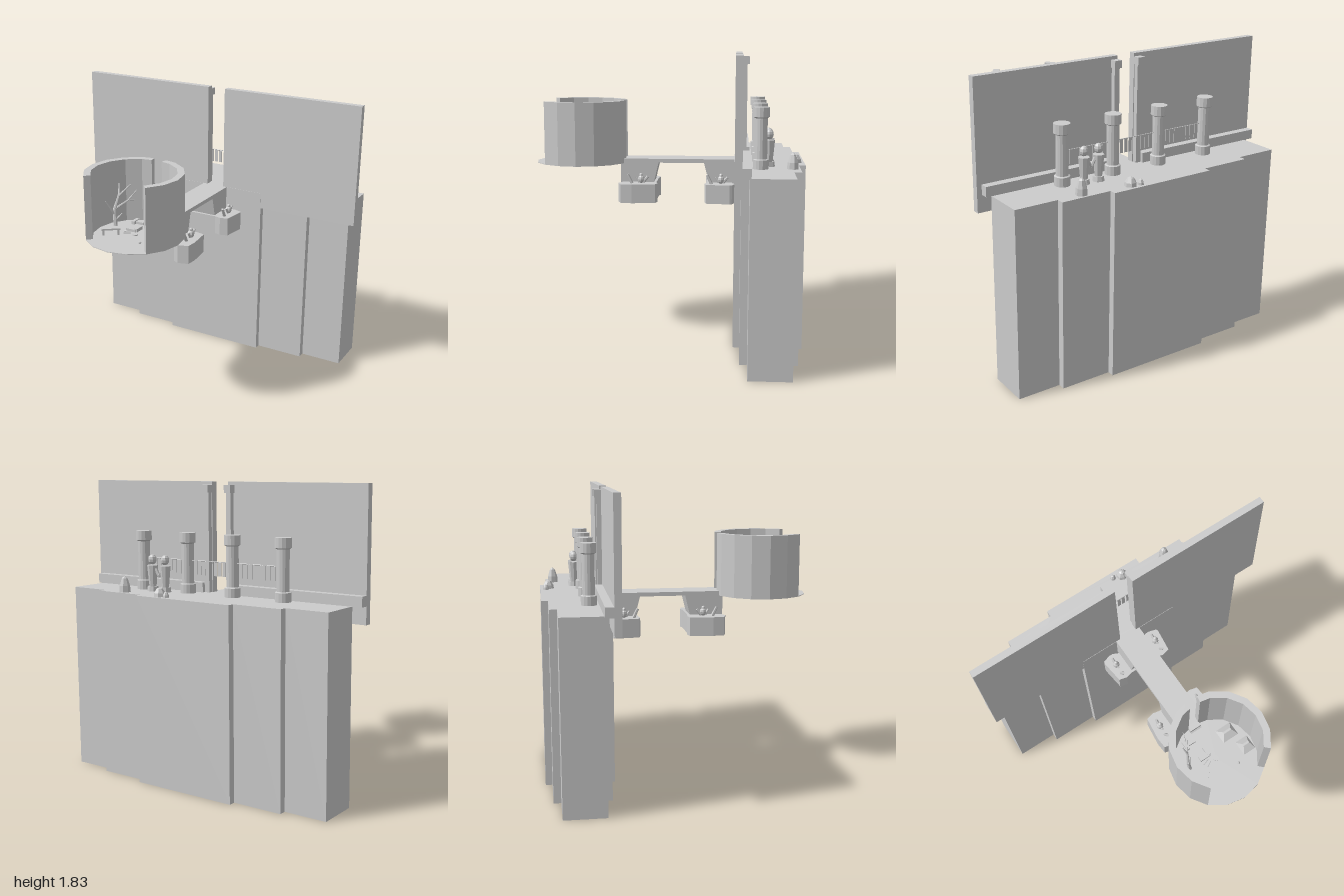
import * as THREE from 'three';

const mat = new THREE.MeshStandardMaterial({ color: 0xcccccc, flatShading: true, side: THREE.DoubleSide });

export function createModel() {
  const root = new THREE.Group();

  const add = (name, geo, x = 0, y = 0, z = 0, parent = root) => {
    const m = new THREE.Mesh(geo, mat);
    m.name = name;
    m.position.set(x, y, z);
    parent.add(m);
    return m;
  };
  // Box given by its limits
  const block = (name, x0, x1, y0, y1, z0, z1, parent = root) =>
    add(name, new THREE.BoxGeometry(x1 - x0, y1 - y0, z1 - z0), (x0 + x1) / 2, (y0 + y1) / 2, (z0 + z1) / 2, parent);
  // Ground outline of [x, z] points raised from y0 to y1
  const plan = (name, pts, y0, y1) => {
    const s = new THREE.Shape(pts.map(([x, z]) => new THREE.Vector2(x, -z)));
    const g = new THREE.ExtrudeGeometry(s, { depth: y1 - y0, bevelEnabled: false });
    return add(name, g.rotateX(-Math.PI / 2), 0, y0, 0);
  };
  // Straight rod between two points
  const rod = (name, a, b, r0, r1 = r0, parent = root, sides = 6) => {
    const p = new THREE.Vector3(...a), q = new THREE.Vector3(...b), d = q.clone().sub(p);
    const m = add(name, new THREE.CylinderGeometry(r1, r0, d.length(), sides), 0, 0, 0, parent);
    m.position.copy(p).add(q).multiplyScalar(0.5);
    m.quaternion.setFromUnitVectors(new THREE.Vector3(0, 1, 0), d.normalize());
    return m;
  };

  // Cliff: stepped slab
  const half = [[0.935, -0.517, -0.775], [0.665, -0.47, -0.82], [0.345, -0.43, -0.862]];
  const left = half.flatMap(([x, f], i) => i < 2 ? [[x, f], [half[i + 1][0], f]] : [[x, f]]);
  const back = half.flatMap(([x, , b], i) => i < 2 ? [[x, b], [half[i + 1][0], b]] : [[x, b]]);
  const mirror = (pts) => pts.map(([x, z]) => [-x, z]);
  plan('cliff', [...left, ...mirror(left).reverse(), ...mirror(back), ...back.slice().reverse()], 0, 1.16);

  // Tall gate panels with base rail and inner post
  for (const s of [-1, 1]) {
    const span = (name, a, b, ...rest) => block(name, Math.min(s * a, s * b), Math.max(s * a, s * b), ...rest);
    span('gatePanel', 0.06, 1.0, 1.055, 1.83, -0.475, -0.432);
    span('gateRail', 0.1, s < 0 ? 1.0 : 0.97, 1.16, 1.22, -0.525, -0.475);
    span('gatePost', 0.065, 0.1, 1.16, 1.8, -0.505, -0.475);
    span('gatePostCap', 0.06, 0.107, 1.765, 1.81, -0.518, -0.475);
  }

  // Bridge: deck and tapered piers in one side profile
  const side = new THREE.Shape([[0.3, 1.16], [0.3, 1.0], [0.09, 1.0], [0.057, 1.135], [-0.235, 1.135],
    [-0.27, 1.0], [-0.44, 1.0], [-0.44, 1.16]].map(([z, y]) => new THREE.Vector2(z, y)));
  add('bridge', new THREE.ExtrudeGeometry(side, { depth: 0.176, bevelEnabled: false }).rotateY(-Math.PI / 2), 0.086);
  block('bridgeRamp', -0.042, 0.037, 1.13, 1.16, 0.28, 0.335);
  const lip = block('rampLip', -0.042, 0.037, 1.128, 1.136, 0.32, 0.362);
  lip.rotation.x = 0.6;

  // Pier bases with small ornaments on both sides
  for (const z0 of [0.06, -0.24]) {
    const d = z0 > 0 ? 1 : -1, L = z0 > 0 ? 0.25 : 0.195;
    const edge = [[0.1, 0.01], [0.14, 0], [0.192, 0.012], [0.21, 0.16], [0.205, L - 0.02], [0.14, L], [0.1, L - 0.02]]
      .map(([x, t]) => [x, z0 + d * t]);
    plan('pierBase', [...edge, ...mirror(edge).reverse()], 0.89, 1.01);
    for (const x of [-0.155, 0.15]) {
      const g = new THREE.Group();
      g.name = 'baseOrnament';
      const zc = z0 > 0 ? 0.162 : -0.345;
      g.position.set(x, 1.01, zc);
      root.add(g);
      add('ornamentBody', new THREE.SphereGeometry(0.022, 8, 6), 0, 0.028, 0, g).scale.y = 1.2;
      add('ornamentHead', new THREE.SphereGeometry(0.012, 8, 6), 0, 0.055, 0, g);
      rod('ornamentLimb', [0, 0.01, 0.012], [0, 0.045, 0.035], 0.009, 0.006, g);
      rod('ornamentLimb', [0, 0.01, -0.012], [0, 0.045, -0.042], 0.011, 0.008, g);
      rod('ornamentPeg', [0, 0, 0.06], [0, 0.058, 0.088], 0.011, 0.009, g);
    }
  }

  // Round pod: thin floor and two curved walls, open at front and back
  const cx = -0.005, cz = 0.56, R = 0.298, step = Math.PI / 8;
  const ring = (a, k) => {
    const r = k * R * Math.cos(step / 2) / Math.cos((a % step) - step / 2);
    return [Math.sin(a) * r, Math.cos(a) * r];
  };
  add('podFloor', new THREE.CylinderGeometry(R, R, 0.004, 16), cx, 1.133, cz);
  const angles = [2, 3, 4, 5, 6, 7, 7.64].map((k) => k * step);
  for (const s of [-1, 1]) {
    const arc = [...angles.map((a) => ring(a, 1)), ...angles.slice().reverse().map((a) => ring(a, 0.86))];
    plan('podWall', arc.map(([x, z]) => [cx + s * x, cz + z]), 1.133, 1.53);
  }
  add('floorDisc', new THREE.CylinderGeometry(0.017, 0.017, 0.006, 12), cx, 1.138, cz);

  // Bare tree inside the pod
  const tree = new THREE.Group();
  tree.name = 'tree';
  root.add(tree);
  [[[-0.175, 1.133, 0.52], [-0.185, 1.25, 0.51], 0.013, 0.01],
    [[-0.185, 1.25, 0.51], [-0.172, 1.33, 0.48], 0.01, 0.007],
    [[-0.172, 1.33, 0.48], [-0.187, 1.4, 0.45], 0.007, 0.003],
    [[-0.172, 1.33, 0.48], [-0.13, 1.39, 0.41], 0.006, 0.003],
    [[-0.185, 1.25, 0.51], [-0.14, 1.29, 0.43], 0.008, 0.005],
    [[-0.14, 1.29, 0.43], [-0.12, 1.34, 0.36], 0.005, 0.002],
    [[-0.14, 1.29, 0.43], [-0.125, 1.28, 0.38], 0.004, 0.002],
    [[-0.183, 1.22, 0.515], [-0.215, 1.31, 0.56], 0.007, 0.003],
    [[-0.18, 1.18, 0.52], [-0.15, 1.22, 0.48], 0.006, 0.003]]
    .forEach(([a, b, r0, r1]) => rod('branch', a, b, r0, r1, tree));

  // Small hipped huts
  for (const [x, z, w, d] of [[0.14, 0.465, 0.108, 0.09], [0.188, 0.595, 0.084, 0.095]]) {
    block('hutWalls', x - w * 0.4, x + w * 0.4, 1.133, 1.16, z - d * 0.4, z + d * 0.4);
    const roof = new THREE.BoxGeometry(w, 0.035, d);
    const p = roof.attributes.position;
    for (let i = 0; i < p.count; i++) {
      if (p.getY(i) > 0) { p.setX(i, p.getX(i) * 0.5); p.setZ(i, p.getZ(i) * 0.15); }
    }
    add('hutRoof', roof, x, 1.175, z);
  }

  // Benches, table and loose pieces on the pod floor
  for (const [x, z, s] of [[-0.085, 0.39, 1], [-0.06, 0.49, -1]]) {
    block('benchSeat', x - 0.035, x + 0.035, 1.133, 1.15, z - 0.012 * (1 + s), z + 0.012 * (1 - s) + 0.012);
    block('benchArm', x - 0.03 * s - 0.011, x - 0.03 * s + 0.011, 1.133, 1.155, z - 0.03, z + 0.03);
  }
  const table = new THREE.Group();
  table.name = 'table';
  table.position.set(-0.138, 1.133, 0.625);
  table.rotation.y = 0.68;
  root.add(table);
  block('tableTop', -0.056, 0.056, 0.035, 0.045, -0.02, 0.02, table);
  for (const x of [-0.045, 0.045]) block('tableLeg', x - 0.006, x + 0.006, 0, 0.035, -0.016, 0.016, table);
  rod('stick', [-0.09, 1.139, 0.55], [-0.05, 1.139, 0.535], 0.004);
  rod('stick', [-0.08, 1.139, 0.575], [-0.045, 1.139, 0.555], 0.004);
  add('pebble', new THREE.IcosahedronGeometry(0.01), 0.09, 1.14, 0.66);

  // Pillars with base and capital
  const pillars = [-0.525, -0.17, 0.165, 0.515], pz = -0.585;
  const profile = [[0, 0], [0.047, 0], [0.047, 0.055], [0.037, 0.06], [0.037, 0.3], [0.049, 0.308], [0.049, 0.365], [0, 0.365]]
    .map(([r, y]) => new THREE.Vector2(r, y));
  for (const x of pillars) add('pillar', new THREE.LatheGeometry(profile, 14), x, 1.16, pz);

  // Rope between pillars with hanging strips
  for (let i = 0; i < 3; i++) {
    const a = pillars[i], b = pillars[i + 1];
    rod('rope', [a, 1.36, pz], [b, 1.36, pz], 0.003);
    for (const t of [0.18, 0.28, 0.37, 0.63, 0.72, 0.82]) {
      const x = a + (b - a) * t;
      block('hangingStrip', x - 0.011, x + 0.011, 1.275, 1.36, pz - 0.002, pz + 0.002);
    }
  }

  // Twin statue
  for (const [x, s] of [[0.302, 1], [0.402, -1]]) {
    add('statueBase', new THREE.CylinderGeometry(0.032, 0.036, 0.03, 8), x, 1.175, -0.637);
    add('statueBody', new THREE.CylinderGeometry(0.034, 0.022, 0.13, 8), x, 1.255, -0.637);
    add('statueHead', new THREE.SphereGeometry(0.026, 8, 6), x, 1.355, -0.637).scale.y = 1.2;
    rod('statueArm', [x + s * 0.02, 1.305, -0.637], [0.352, 1.25, -0.635], 0.012, 0.009);
  }

  // Tapered rocks
  for (const [x, z, r, h] of [[0.51, -0.775, 0.036, 0.1], [0.2, -0.81, 0.038, 0.055], [0.14, -0.825, 0.02, 0.035]]) {
    const pts = [[r, 0], [r * 0.9, h * 0.4], [r * 0.5, h * 0.85], [0, h]].map(([a, y]) => new THREE.Vector2(a, y));
    add('rock', new THREE.LatheGeometry(pts, 7), x, 1.16, z);
  }

  return root;
}
